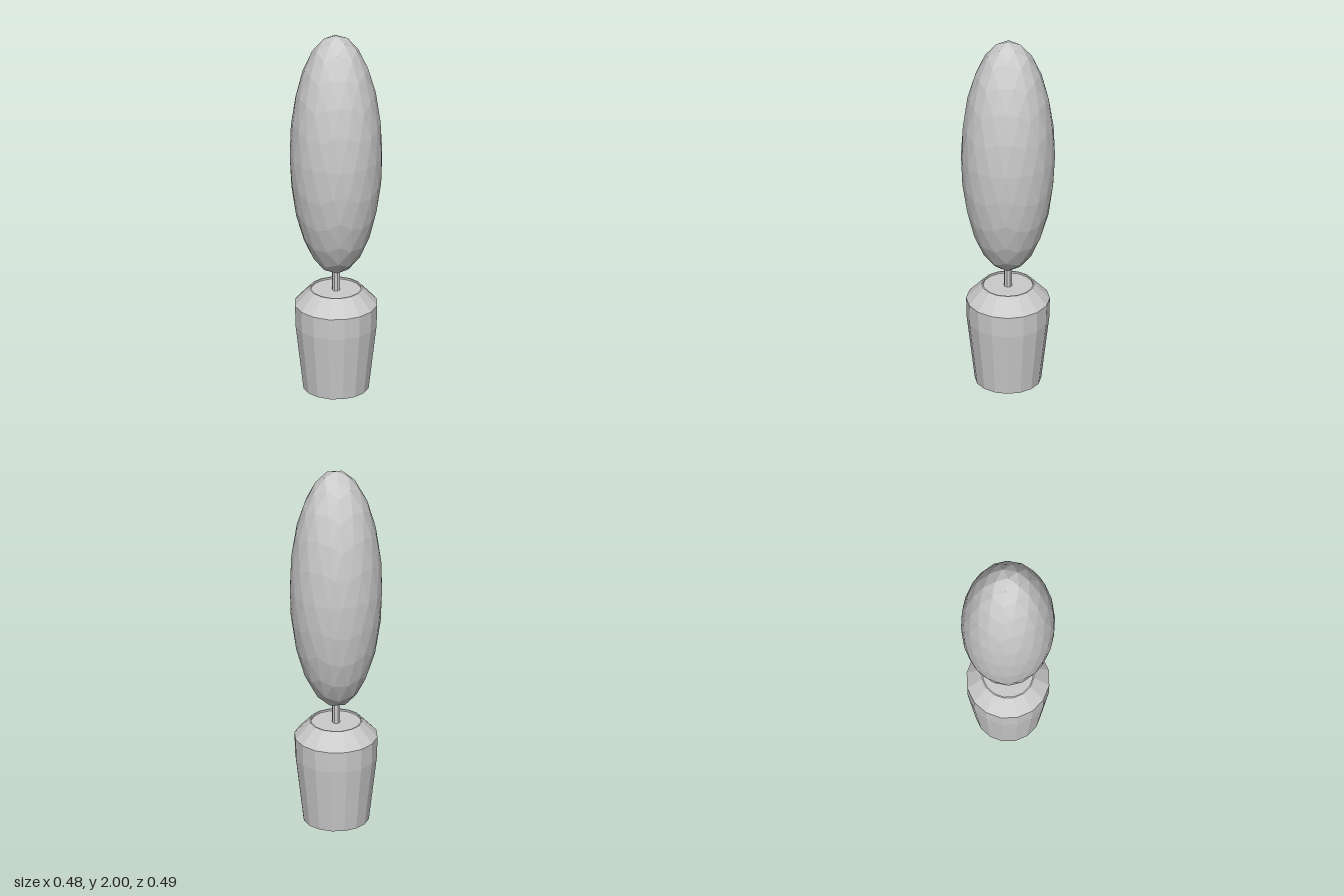
import * as THREE from 'three';

const SIDES = 16;

function addMesh(parent, name, geometry) {
  const material = new THREE.MeshStandardMaterial({ color: 0xcccccc, flatShading: true });
  const mesh = new THREE.Mesh(geometry, material);
  mesh.name = name;
  parent.add(mesh);
  return mesh;
}

// Icosphere halved twice, with a corner at the top
function icosphere() {
  const base = new THREE.IcosahedronGeometry(1, 1).attributes.position;
  const indices = Array.from({ length: base.count }, (_, i) => i);
  const geometry = new THREE.PolyhedronGeometry(Array.from(base.array), indices, 1, 1);
  geometry.rotateX(-Math.atan((1 + Math.sqrt(5)) / 2));
  geometry.rotateY(Math.PI / 2);
  return geometry;
}

export function createModel() {
  const tree = new THREE.Group();
  tree.name = 'pottedTree';

  // Pot: tapered body, straight band, sloped shoulder and a thin lip
  const profile = [
    [0, 0], [0.172, 0], [0.214, 0.36], [0.217, 0.475],
    [0.137, 0.56], [0.13, 0.56], [0.13, 0.54],
  ].map(([r, y]) => new THREE.Vector2(r, y));
  addMesh(tree, 'pot', new THREE.LatheGeometry(profile, SIDES, Math.PI / SIDES));

  // Soil just below the lip
  const soil = new THREE.CircleGeometry(0.131, SIDES, Math.PI / SIDES);
  soil.rotateX(-Math.PI / 2);
  addMesh(tree, 'soil', soil).position.y = 0.55;

  // Trunk from the soil into the foliage
  addMesh(tree, 'trunk', new THREE.CylinderGeometry(0.021, 0.021, 0.2, 8)).position.y = 0.6;

  // Tall egg-shaped foliage
  const foliage = addMesh(tree, 'foliage', icosphere().scale(0.24, 0.677, 0.246));
  foliage.position.y = 1.323;

  return tree;
}
